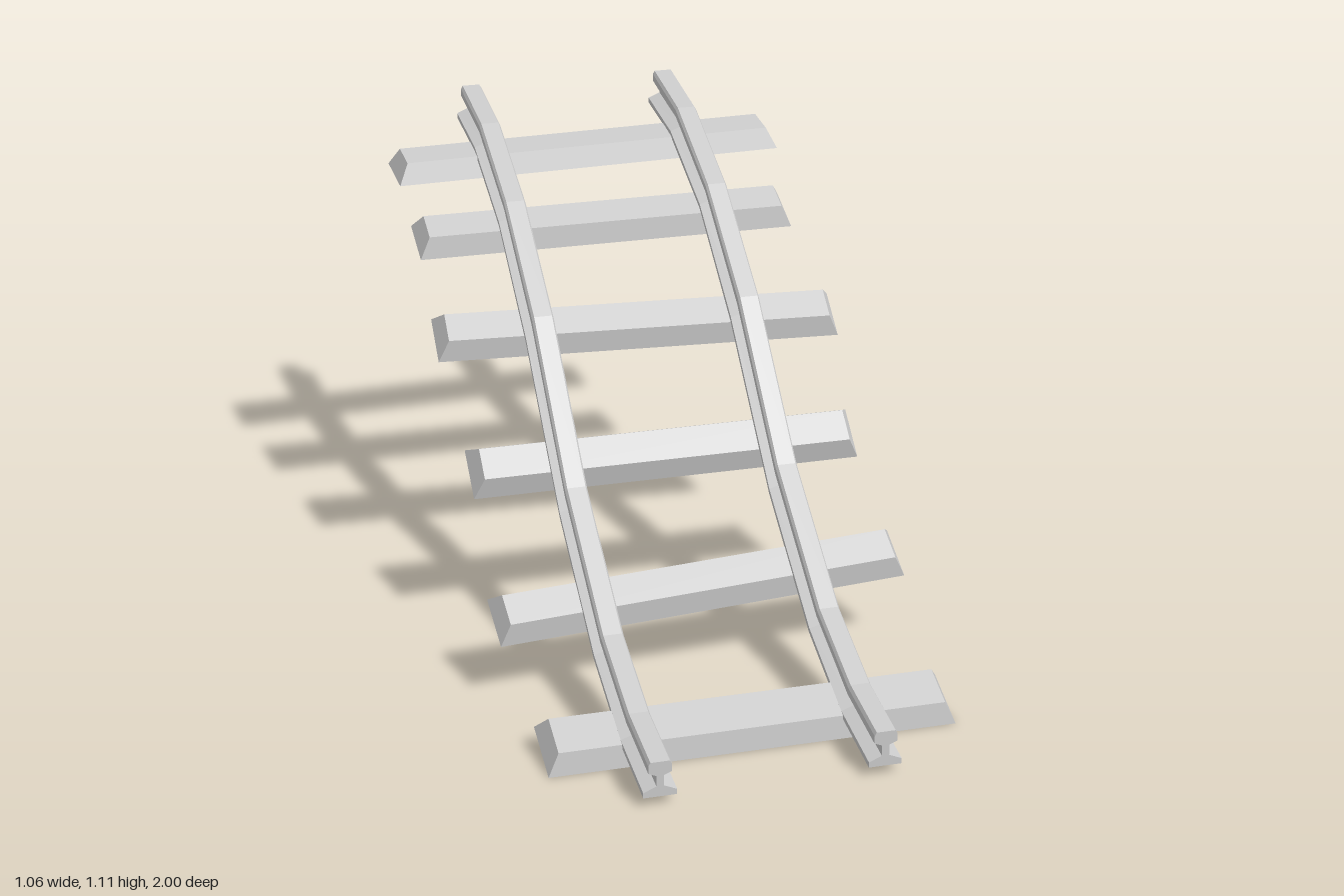
import * as THREE from 'three';

const steel = new THREE.MeshStandardMaterial({ color: 0xcccccc, flatShading: true });

// Rail path from back to front: [z, y] of the underside and of the running surface
const underside = [[-1, 1.022], [-0.77, 1.0], [-0.475, 0.893], [-0.175, 0.688],
  [0.185, 0.36], [0.53, 0.143], [0.79, 0.05], [1, 0.025]];
const surface = [[-1, 1.112], [-0.755, 1.08], [-0.455, 0.963], [-0.145, 0.762],
  [0.2, 0.442], [0.56, 0.217], [0.805, 0.137], [1, 0.115]];

// Half of the I-section: [half width, height from 0 to 1]
const halfSection = [[0.04, 0], [0.04, 0.15], [0.009, 0.3], [0.009, 0.6],
  [0.028, 0.69], [0.028, 0.9], [0.023, 1]];

function railGeometry() {
  const left = halfSection.map(([x, y]) => new THREE.Vector2(-x, y)).reverse();
  const outline = halfSection.map(([x, y]) => new THREE.Vector2(x, y)).concat(left);
  const steps = surface.length - 1;
  const geo = new THREE.ExtrudeGeometry(new THREE.Shape(outline),
    { depth: steps, steps, bevelEnabled: false });
  // Bend the straight bar: each step follows one station of the path
  const p = geo.attributes.position;
  for (let i = 0; i < p.count; i++) {
    const k = Math.round(p.getZ(i)), t = p.getY(i);
    p.setY(i, THREE.MathUtils.lerp(underside[k][1], surface[k][1], t));
    p.setZ(i, THREE.MathUtils.lerp(underside[k][0], surface[k][0], t));
  }
  geo.computeVertexNormals();
  return geo;
}

// Beam with its base on y = 0 and all four sides sloping inward to the top
function sleeperGeometry(length, width) {
  const height = 0.052, inset = 0.026;
  const geo = new THREE.BoxGeometry(length, height, width);
  geo.translate(0, height / 2, 0);
  const p = geo.attributes.position;
  for (let i = 0; i < p.count; i++) {
    if (p.getY(i) < height / 2) continue;
    p.setX(i, p.getX(i) - Math.sign(p.getX(i)) * inset);
    p.setZ(i, p.getZ(i) - Math.sign(p.getZ(i)) * inset);
  }
  geo.computeVertexNormals();
  return geo;
}

// Sleepers from front to back; y and z give the middle of the base
const sleepers = [
  { x: 0.012, y: 0.027, z: 0.738, tilt: 0.34, yaw: 0.0, length: 1.0, width: 0.16 },
  { x: 0.003, y: 0.202, z: 0.343, tilt: 0.555, yaw: 0.06, length: 1.045, width: 0.137 },
  { x: -0.003, y: 0.428, z: 0.028, tilt: 0.69, yaw: 0.0, length: 1.0, width: 0.137 },
  { x: -0.002, y: 0.667, z: -0.244, tilt: 0.55, yaw: -0.038, length: 1.05, width: 0.137 },
  { x: -0.02, y: 0.847, z: -0.526, tilt: 0.36, yaw: 0.0, length: 1.0, width: 0.138 },
  { x: -0.002, y: 0.952, z: -0.8, tilt: 0.12, yaw: 0.035, length: 1.05, width: 0.145 },
];

export function createModel() {
  const track = new THREE.Group();
  track.name = 'railwayTrack';

  // Pair of rails
  const rail = railGeometry();
  for (const side of [1, -1]) {
    const mesh = new THREE.Mesh(rail, steel);
    mesh.name = side > 0 ? 'leftRail' : 'rightRail';
    mesh.position.x = side * 0.27;
    track.add(mesh);
  }

  // Sleepers lean with the slope, then turn slightly within it
  sleepers.forEach((s, i) => {
    const mesh = new THREE.Mesh(sleeperGeometry(s.length, s.width), steel);
    mesh.name = `sleeper${i + 1}`;
    mesh.position.set(s.x, s.y, s.z);
    mesh.rotation.set(s.tilt, s.yaw, 0);
    track.add(mesh);
  });

  return track;
}
